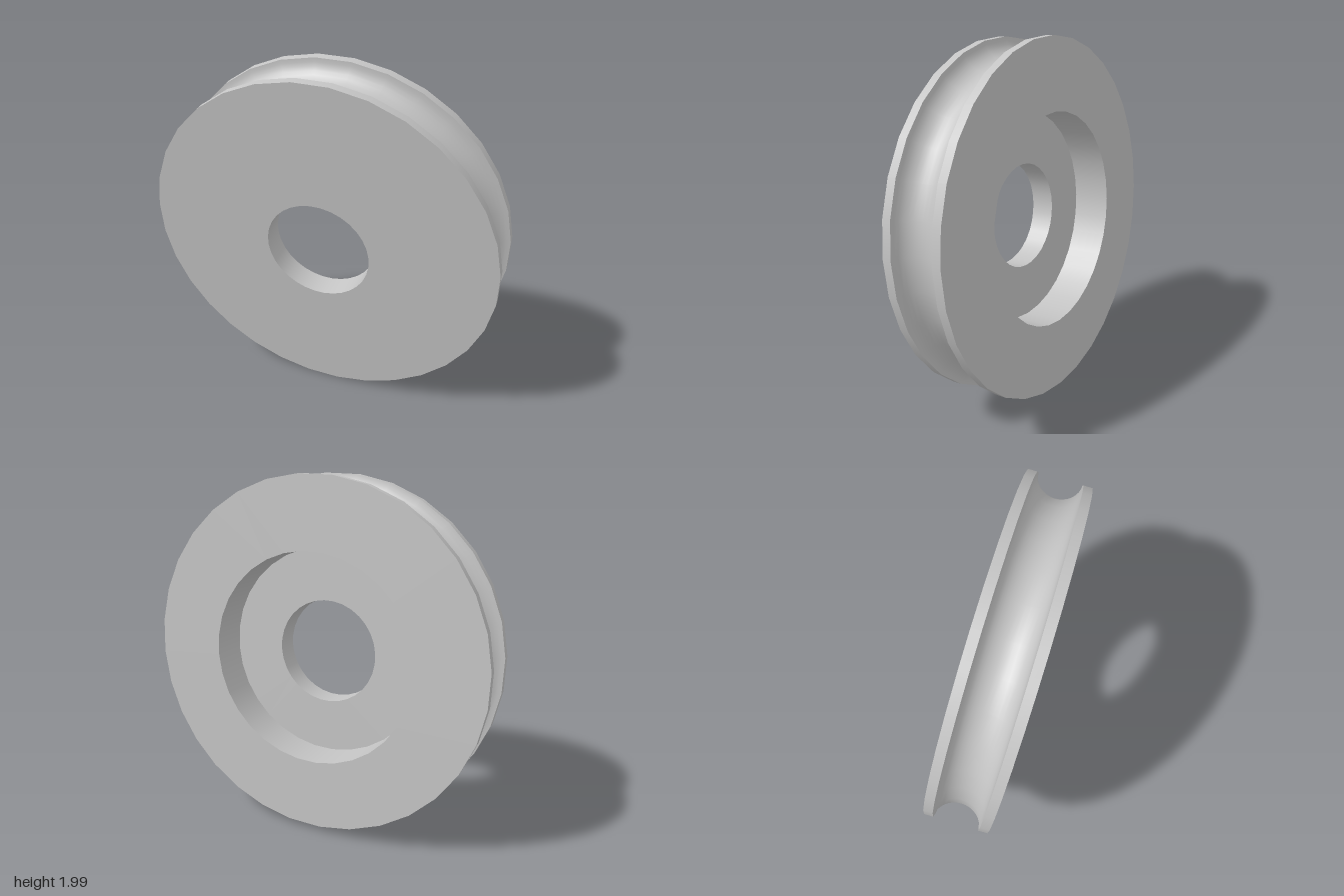
import * as THREE from 'three';

const SEGMENTS = 32;
const R = 0.987;        // flange radius
const HALF = 0.175;     // half thickness
const RIM = 0.05;       // flange edge width
const RECESS_R = 0.593; // counterbore radius
const BORE_R = 0.296;   // through hole radius
const FLOOR = -0.042;   // height of the counterbore floor

export function createModel() {
  const model = new THREE.Group();
  const metal = new THREE.MeshStandardMaterial({ color: 0xc4c4c4 });
  metal.name = 'light grey metal';

  const wheel = new THREE.Group();
  wheel.name = 'pulleyWheel';

  // each surface is its own revolved strip, so the edges between them stay sharp
  const revolve = (name, points) => {
    const profile = points.map(([r, y]) => new THREE.Vector2(r, y));
    const mesh = new THREE.Mesh(new THREE.LatheGeometry(profile, SEGMENTS), metal);
    mesh.name = name;
    wheel.add(mesh);
  };

  // rounded rope groove
  const grooveHalf = HALF - RIM;
  const groove = [];
  for (let i = 0; i <= 16; i++) {
    const a = (i / 16) * Math.PI;
    groove.push([R - 0.108 * Math.sin(a), -grooveHalf * Math.cos(a)]);
  }

  revolve('plainFace', [[BORE_R, -HALF], [R, -HALF]]);
  revolve('plainFlangeRim', [[R, -HALF], [R, -grooveHalf]]);
  revolve('ropeGroove', groove);
  revolve('recessedFlangeRim', [[R, grooveHalf], [R, HALF]]);
  revolve('recessedFace', [[R, HALF], [RECESS_R, HALF]]);
  revolve('recessWall', [[RECESS_R, HALF], [RECESS_R, FLOOR]]);
  revolve('recessFloor', [[RECESS_R, FLOOR], [BORE_R, FLOOR]]);
  revolve('boreWall', [[BORE_R, FLOOR], [BORE_R, -HALF]]);

  // tilt the axle direction
  const axis = new THREE.Vector3(0.882, 0.093, -0.463).normalize();
  wheel.quaternion.setFromUnitVectors(new THREE.Vector3(0, 1, 0), axis);
  wheel.position.y = 1;
  model.add(wheel);
  return model;
}
